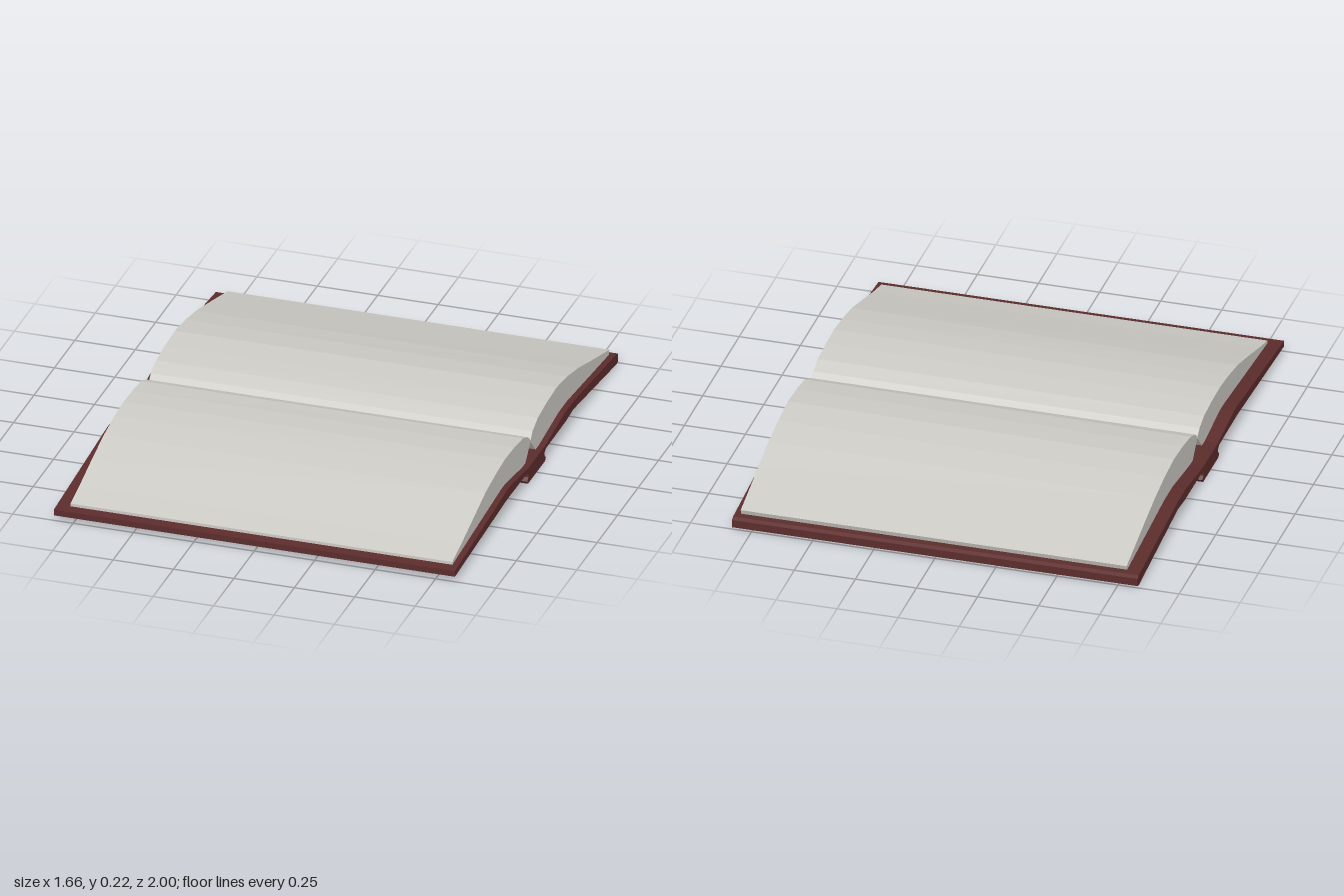
import * as THREE from 'three';

// Extrude a [z, y] cross-section along x, from x0 to x1
function profileMesh(name, points, x0, x1, material) {
  const shape = new THREE.Shape(points.map(([z, y]) => new THREE.Vector2(-z, y)));
  const geometry = new THREE.ExtrudeGeometry(shape, { depth: x1 - x0, bevelEnabled: false });
  geometry.rotateY(Math.PI / 2);
  geometry.translate(x0, 0, 0);
  const mesh = new THREE.Mesh(geometry, material);
  mesh.name = name;
  return mesh;
}

export function createModel() {
  const book = new THREE.Group();
  book.name = 'openBook';
  const leather = new THREE.MeshStandardMaterial({ color: 0x5c2c2c, flatShading: true });
  const paper = new THREE.MeshStandardMaterial({ color: 0xcccac4, flatShading: true });

  // Cover boards, each bent near the spine
  const frontBoard = [
    [1, 0.022], [1, 0.047], [0.93, 0.052], [0.36, 0.094], [0.31, 0.094], [0.1, 0.066],
    [0.1, 0.05], [0.36, 0.054],
  ];
  const backBoard = [
    [-1, 0.008], [-0.985, 0.003], [-0.45, 0.06], [-0.36, 0.052], [-0.1, 0.05],
    [-0.1, 0.066], [-0.34, 0.094], [-0.45, 0.094], [-0.985, 0.048], [-1, 0.04],
  ];
  book.add(profileMesh('frontCover', frontBoard, -0.83, 0.83, leather));
  book.add(profileMesh('backCover', backBoard, -0.83, 0.83, leather));

  // Spine with a pinched hinge on each side
  const half = [[0.105, 0], [0.113, 0.012], [0.1, 0.026], [0.1, 0.04], [0.115, 0.05], [0.1, 0.066]];
  const spine = [...half, ...half.map(([z, y]) => [-z, y]).reverse()];
  book.add(profileMesh('spine', spine, -0.83, 0.83, leather));

  // Two swelling page blocks that meet above the gutter
  const frontPages = [
    [0.957, 0.048], [0.957, 0.062], [0.85, 0.088], [0.7, 0.13], [0.55, 0.17], [0.42, 0.19],
    [0.31, 0.2], [0.2, 0.197], [0.09, 0.186], [0.03, 0.163], [0.004, 0.14], [0, 0.13],
    [0.065, 0.064], [0.1, 0.064], [0.31, 0.09], [0.36, 0.09],
  ];
  const backPages = [
    [-0.957, 0.048], [-0.965, 0.07], [-0.86, 0.098], [-0.72, 0.135], [-0.58, 0.172],
    [-0.45, 0.197], [-0.32, 0.211], [-0.2, 0.204], [-0.09, 0.189], [-0.025, 0.163],
    [-0.004, 0.14], [0, 0.13], [-0.065, 0.064], [-0.1, 0.064], [-0.34, 0.09], [-0.45, 0.09],
  ];
  for (const [name, points] of [['frontPages', frontPages], ['backPages', backPages]]) {
    const pages = profileMesh(name, points, -0.775, 0.805, paper);
    // The stack rises very slightly toward +x
    const pos = pages.geometry.attributes.position;
    for (let i = 0; i < pos.count; i++) {
      const lift = Math.max(0, pos.getY(i) - 0.13) / 0.08;
      pos.setY(i, pos.getY(i) + 0.005 * lift * pos.getX(i));
    }
    pages.geometry.computeVertexNormals();
    book.add(pages);
  }
  return book;
}
